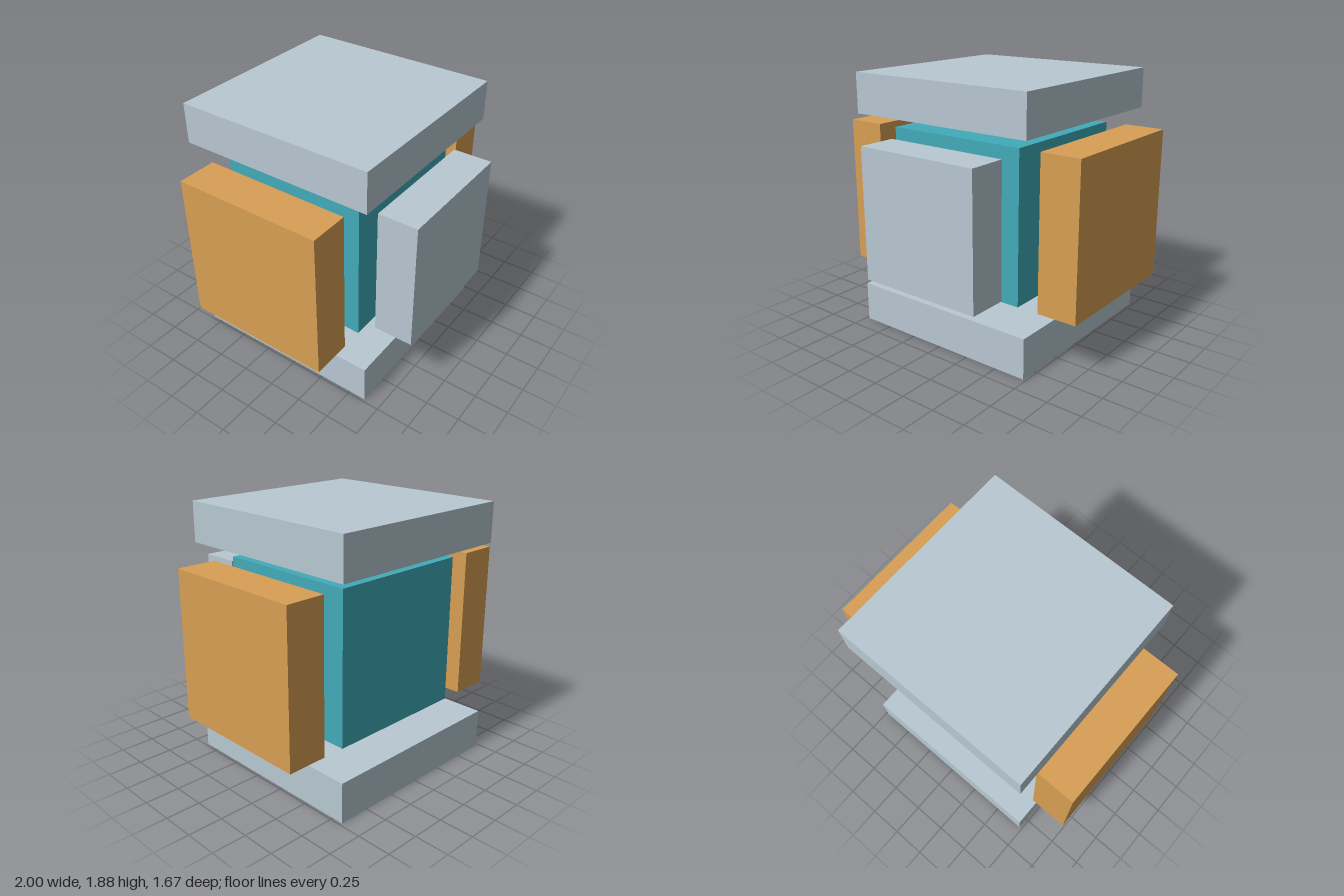
import * as THREE from 'three';

export function createModel() {
  const model = new THREE.Group();
  const grey = new THREE.MeshStandardMaterial({ color: 0xb8c8d2 });
  const orange = new THREE.MeshStandardMaterial({ color: 0xd89f54 });
  const teal = new THREE.MeshStandardMaterial({ color: 0x41abb9 });

  const coreSize = 1.094;
  const thickness = 0.292;
  const slabSize = 1.46;
  const panelSize = 0.97;
  const midY = 0.942;
  const midZ = -0.104;

  function addBlock(name, material, size, position) {
    const mesh = new THREE.Mesh(new THREE.BoxGeometry(...size), material);
    mesh.name = name;
    mesh.position.set(...position);
    model.add(mesh);
  }

  // central cube
  addBlock('core', teal, [coreSize, coreSize, coreSize], [0, midY, midZ]);

  // floating slabs below and above, floating panels left and right
  for (const s of [-1, 1]) {
    addBlock(s < 0 ? 'bottomSlab' : 'topSlab', grey,
      [slabSize, thickness, slabSize], [0, midY + s * (midY - thickness / 2), midZ]);
    addBlock(s < 0 ? 'rightPanel' : 'leftPanel', orange,
      [thickness, coreSize, coreSize], [s * (1 - thickness / 2), midY, midZ]);
  }

  // smaller panel floating before the front face
  addBlock('frontPanel', grey, [panelSize, panelSize, thickness], [0, midY, 0.834 - thickness / 2]);

  return model;
}
